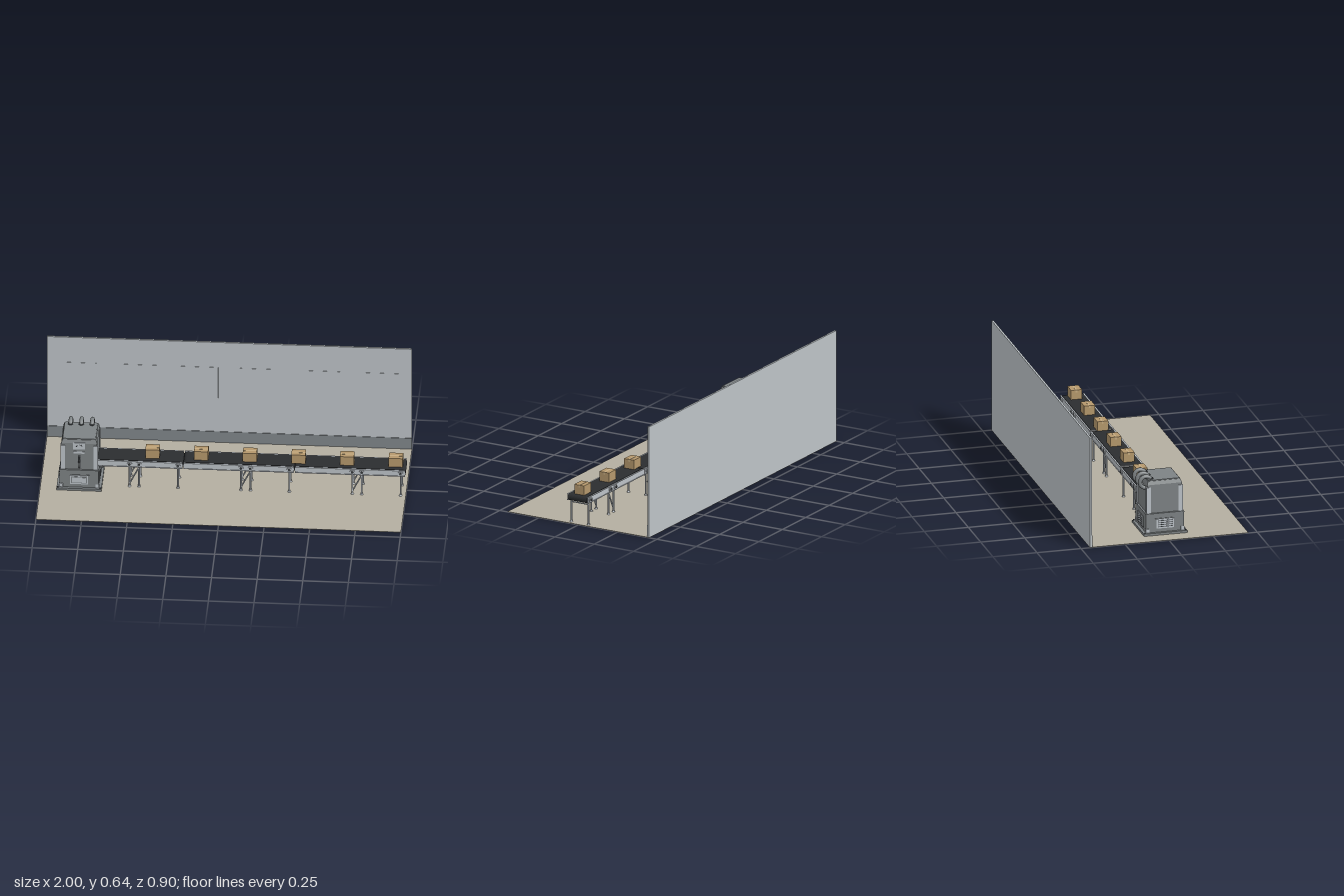
import * as THREE from 'three';

const mat = (name, color, side = THREE.FrontSide) => {
  const m = new THREE.MeshStandardMaterial({ color, side });
  m.name = name;
  return m;
};

export function createModel() {
  const root = new THREE.Group();
  root.name = 'factoryConveyorLine';
  const M = {
    wall: mat('wall grey', 0xbdc3c7),
    skirt: mat('skirting grey', 0x80868a),
    floor: mat('floor beige', 0xb3aea0),
    body: mat('machine grey', 0x7d8284),
    steel: mat('light steel', 0xbcc2c8),
    dark: mat('dark metal', 0x45494c),
    belt: mat('belt black', 0x2b2d2f),
    card: mat('cardboard', 0xb5986c),
    tape: mat('packing tape', 0xc7ad82),
  };
  const add = (parent, name, geo, material, x = 0, y = 0, z = 0) => {
    const m = new THREE.Mesh(geo, material);
    m.name = name;
    m.position.set(x, y, z);
    parent.add(m);
    return m;
  };
  const box = (parent, name, material, w, h, d, x, y, z) =>
    add(parent, name, new THREE.BoxGeometry(w, h, d), material, x, y, z);
  const group = (name, x = 0, y = 0, z = 0, parent = root) => {
    const g = new THREE.Group();
    g.name = name;
    g.position.set(x, y, z);
    parent.add(g);
    return g;
  };
  // round bar between two points
  const rod = (parent, name, material, a, b, r, sides = 10) => {
    const p = new THREE.Vector3(...a), q = new THREE.Vector3(...b);
    const d = q.clone().sub(p);
    const m = add(parent, name, new THREE.CylinderGeometry(r, r, d.length(), sides), material);
    m.position.copy(p.add(q).multiplyScalar(0.5));
    m.quaternion.setFromUnitVectors(new THREE.Vector3(0, 1, 0), d.normalize());
    return m;
  };

  // Room: floor, back wall, skirting, shallow wall panels
  box(root, 'floor', M.floor, 2, 0.002, 0.9, 0, 0.001, 0);
  box(root, 'backWall', M.wall, 2, 0.634, 0.011, 0, 0.319, -0.4445);
  box(root, 'skirting', M.skirt, 2, 0.068, 0.003, 0, 0.036, -0.4375);
  for (let i = 0; i < 6; i++)
    box(root, 'wallPanel', M.wall, 0.215, 0.195, 0.002, -0.835 + i * 0.333, 0.38, -0.4385);

  // Machine: plinth, lower cabinet, upper cabinet with chamfered cap
  const machine = group('machine', -0.786, 0, 0.006);
  box(machine, 'basePlate', M.body, 0.246, 0.013, 0.246, 0, 0.0085, 0);
  box(machine, 'lowerCabinet', M.body, 0.214, 0.107, 0.214, 0, 0.0685, 0);
  box(machine, 'lowerLedge', M.body, 0.218, 0.006, 0.218, 0, 0.121, 0);
  box(machine, 'upperCabinet', M.body, 0.196, 0.164, 0.196, 0, 0.206, 0);
  const cap = add(machine, 'cap', new THREE.CylinderGeometry(0.0915 * Math.SQRT2, 0.099 * Math.SQRT2, 0.02, 4, 1)
    .toNonIndexed().rotateY(Math.PI / 4), M.body, 0, 0.298, 0);
  cap.geometry.computeVertexNormals();
  box(machine, 'capTop', M.body, 0.176, 0.005, 0.176, 0, 0.3095, 0);
  for (const sx of [-1, 1]) for (const sz of [-1, 1]) {
    box(machine, 'cornerColumn', M.steel, 0.024, 0.151, 0.024, sx * 0.0905, 0.1995, sz * 0.0905);
    box(machine, 'cornerFoot', M.steel, 0.02, 0.022, 0.02, sx * 0.0995, 0.026, sz * 0.0995);
    add(machine, 'anchorBolt', new THREE.CylinderGeometry(0.004, 0.004, 0.006, 6), M.dark, sx * 0.116, 0.017, sz * 0.116);
  }
  // Vent panel on each side of the lower cabinet
  for (let k = 0; k < 4; k++) {
    const side = group('ventPanel', 0, 0, 0, machine);
    side.rotation.y = k * Math.PI / 2;
    box(side, 'panelBack', M.body, 0.116, 0.064, 0.004, 0, 0.062, 0.108);
    box(side, 'panelFace', M.steel, 0.1, 0.054, 0.003, 0, 0.064, 0.111);
    if (k === 0) {
      box(side, 'panelInset', M.body, 0.086, 0.04, 0.002, 0, 0.064, 0.1125);
      box(side, 'panelDoor', M.steel, 0.078, 0.032, 0.002, 0, 0.064, 0.1135);
    } else for (let i = 0; i < 4; i++)
      box(side, 'ventSlat', M.dark, 0.08, 0.004, 0.002, 0, 0.047 + i * 0.0115, 0.1125);
  }
  // Front controls: gauge plate, nameplate, lever on half disc
  box(machine, 'gaugePlate', M.steel, 0.066, 0.042, 0.004, 0, 0.272, 0.099);
  for (let i = 0; i < 5; i++) {
    const a = Math.PI * (0.1 + 0.2 * i);
    box(machine, 'gaugeMark', M.dark, 0.004, 0.004, 0.002, Math.cos(a) * 0.016, 0.265 + Math.sin(a) * 0.016, 0.1015);
  }
  box(machine, 'nameplate', M.steel, 0.06, 0.013, 0.004, 0, 0.231, 0.099);
  box(machine, 'leverSlot', M.dark, 0.014, 0.08, 0.003, 0, 0.175, 0.099);
  add(machine, 'leverQuadrant', new THREE.CylinderGeometry(0.028, 0.028, 0.009, 24).rotateZ(Math.PI / 2),
    M.body, 0, 0.16, 0.09);
  rod(machine, 'lever', M.dark, [0, 0.16, 0.108], [0, 0.213, 0.126], 0.0025);
  add(machine, 'leverKnob', new THREE.SphereGeometry(0.0055, 12, 8), M.dark, 0, 0.214, 0.127);
  // Curved pipes from the roof into the back
  for (const x of [-0.059, 0, 0.059]) {
    add(machine, 'pipe', new THREE.TorusGeometry(0.032, 0.0115, 12, 32).rotateY(Math.PI / 2), M.body, x, 0.294, -0.096);
    add(machine, 'pipeCollar', new THREE.CylinderGeometry(0.0145, 0.0145, 0.006, 16), M.dark, x, 0.313, -0.068);
  }

  // Conveyor: three sections with belt loop, channel rails, rollers, legs
  const line = group('conveyor', 0, 0, 0.006);
  const R = 0.02, L = 0.61;
  const loop = new THREE.Shape();
  loop.moveTo(-L / 2 + R, -R);
  loop.lineTo(L / 2 - R, -R);
  loop.absarc(L / 2 - R, 0, R, -Math.PI / 2, Math.PI / 2, false);
  loop.lineTo(-L / 2 + R, R);
  loop.absarc(-L / 2 + R, 0, R, Math.PI / 2, Math.PI * 1.5, false);
  const beltGeo = new THREE.ExtrudeGeometry(loop, { depth: 0.12, bevelEnabled: false, curveSegments: 10 })
    .translate(0, 0, -0.06);
  for (let s = 0; s < 3; s++) {
    const end = -0.22 + s * L;
    const sec = group('conveyorSection', end, 0, 0, line);
    // the first section starts inside the machine
    add(sec, 'belt', beltGeo, M.belt, -L / 2, 0.148, 0);
    const legs = [-0.293, -0.241, -0.028];
    for (const sz of [-1, 1]) {
      box(sec, 'railWeb', M.steel, L - 0.006, 0.036, 0.004, -L / 2, 0.148, sz * 0.063);
      for (const y of [0.132, 0.165])
        box(sec, 'railFlange', M.steel, L - 0.006, 0.003, 0.008, -L / 2, y, sz * 0.065);
      for (const x of legs) {
        rod(sec, 'leg', M.steel, [x, 0.004, sz * 0.055], [x, 0.145, sz * 0.055], 0.005);
        add(sec, 'foot', new THREE.CylinderGeometry(0.006, 0.009, 0.006, 12), M.steel, x, 0.005, sz * 0.055);
        rod(sec, 'bearing', M.steel, [x, 0.148, sz * 0.062], [x, 0.148, sz * 0.071], 0.014, 20);
        rod(sec, 'bearingBolt', M.dark, [x, 0.148, sz * 0.07], [x, 0.148, sz * 0.075], 0.007, 12);
      }
      rod(sec, 'diagonalBrace', M.steel, [legs[0], 0.02, sz * 0.055], [legs[1], 0.125, sz * 0.055], 0.004);
    }
    rod(sec, 'crossBar', M.steel, [legs[2], 0.118, -0.055], [legs[2], 0.118, 0.055], 0.004);
  }

  // Taped cartons riding on the belt
  for (let i = 0; i < 6; i++) {
    const c = group('carton', -0.39 + i * 0.2665, 0.195, 0.006);
    box(c, 'cartonBody', M.card, 0.077, 0.054, 0.062, 0, 0, 0);
    box(c, 'topTape', M.tape, 0.0775, 0.001, 0.01, 0, 0.0272, 0);
    for (const sx of [-1, 1])
      box(c, 'endTape', M.tape, 0.001, 0.014, 0.01, sx * 0.0386, 0.0205, 0);
  }
  return root;
}
